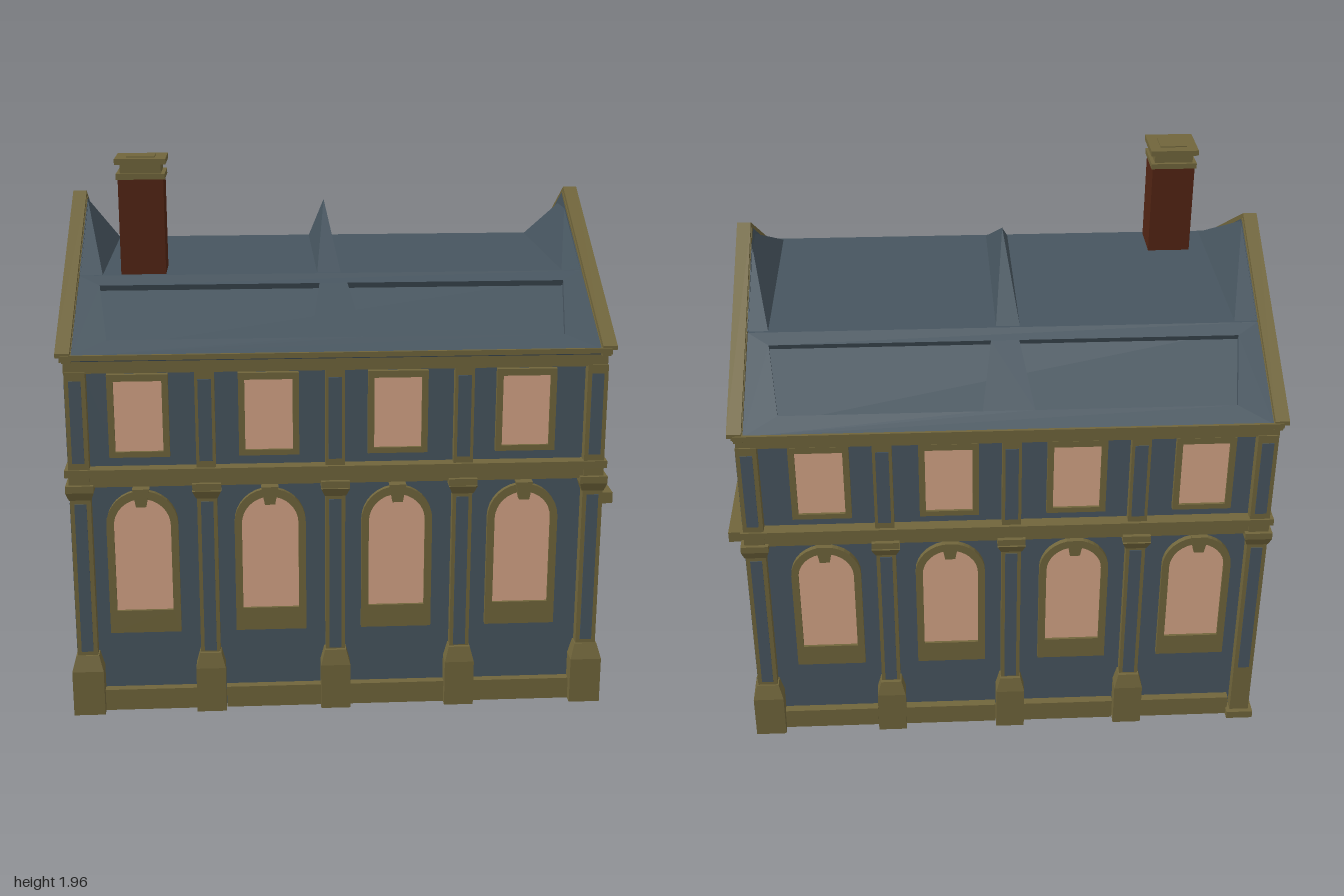
import * as THREE from 'three';

const mat = (name, color, side = THREE.FrontSide) => {
  const m = new THREE.MeshStandardMaterial({ color, side });
  m.name = name;
  return m;
};
const CX = -0.042; // middle of the building; the door canopy sticks out on one side

export function createModel() {
  const wall = mat('slate wall', 0x47555f, THREE.DoubleSide);
  const trim = mat('olive stone', 0x70653b);
  const glass = mat('lit window', 0xd6a587, THREE.DoubleSide);
  const brick = mat('brown brick', 0x522413);
  const black = mat('black door', 0x242424);
  const model = new THREE.Group();
  model.name = 'townHall';

  const add = (parent, name, geo, material) => {
    const m = new THREE.Mesh(geo, material);
    m.name = name;
    parent.add(m);
    return m;
  };
  const group = (name, parent = model) => {
    const g = new THREE.Group();
    g.name = name;
    parent.add(g);
    return g;
  };
  const box = (p, name, material, x0, x1, y0, y1, z0, z1) =>
    add(p, name, new THREE.BoxGeometry(x1 - x0, y1 - y0, z1 - z0), material)
      .position.set((x0 + x1) / 2, (y0 + y1) / 2, (z0 + z1) / 2);
  // Four-sided block whose top is scaled by k
  const taper = (p, name, material, x, z, w, d, y0, y1, k, shift = 0) => {
    const r = Math.SQRT1_2;
    const geo = new THREE.CylinderGeometry(r * k, r, y1 - y0, 4).toNonIndexed();
    geo.rotateY(Math.PI / 4).scale(w, 1, d);
    const pos = geo.attributes.position;
    for (let i = 0; i < pos.count; i++) if (pos.getY(i) > 0) pos.setX(i, pos.getX(i) + shift);
    geo.computeVertexNormals();
    add(p, name, geo, material).position.set(x, (y0 + y1) / 2, z);
  };
  const poly = (pts, C = THREE.Shape) => new C(pts.map(([x, y]) => new THREE.Vector2(x, y)));
  const rect = (x0, x1, y0, y1, C) => poly([[x0, y0], [x1, y0], [x1, y1], [x0, y1]], C);
  const arch = (x, r, y0, top, C = THREE.Shape) => {
    const s = new C();
    s.moveTo(x - r, y0);
    s.lineTo(x + r, y0);
    s.lineTo(x + r, top - r);
    s.absarc(x, top - r, r, 0, Math.PI, false);
    s.lineTo(x - r, y0);
    return s;
  };
  const plate = (p, name, material, shape, z0, z1) => {
    const geo = new THREE.ExtrudeGeometry(shape, { depth: z1 - z0, bevelEnabled: false, curveSegments: 8 });
    add(p, name, geo, material).position.z = z0;
  };

  // Window: pane set in a wall opening, with a raised frame around it
  const window_ = (p, shapeWall, makePane, frame) => {
    shapeWall.holes.push(makePane(THREE.Path));
    frame.holes.push(makePane(THREE.Path));
    plate(p, 'windowFrame', trim, frame, -0.003, 0.02);
    add(p, 'windowPane', new THREE.ShapeGeometry(makePane(THREE.Shape), 8), glass).position.z = 0.01;
  };
  const squareWindow = (p, s, u, r) =>
    window_(p, s, C => rect(u - r, u + r, 0.982, 1.236, C), rect(u - r - 0.022, u + r + 0.022, 0.962, 1.26));
  // Pilaster of the long sides: olive shaft with a slate panel on its face
  const pilaster = (p, u, y0, y1, w, panel) => {
    box(p, 'pilaster', trim, u - w / 2, u + w / 2, y0, y1, -0.02, 0.035);
    box(p, 'pilasterPanel', wall, u - w * panel, u + w * panel, y0 + 0.03, y1 - 0.03, 0.032, 0.038);
  };
  // Pilaster of the gable ends: slate shaft with olive foot and cap
  const slatePilaster = (p, u, y0, y1, foot, cap) => {
    box(p, 'pilaster', wall, u - 0.028, u + 0.028, y0, y1, -0.02, 0.035);
    for (const y of [foot, cap])
      box(p, 'pilasterBlock', trim, u - 0.036, u + 0.036, y, y + 0.03, -0.01, 0.045);
  };

  // Long sides: four bays of arched windows below and square windows above
  for (const side of [1, -1]) {
    const g = group(side > 0 ? 'frontSide' : 'backSide');
    g.position.set(CX, 0, 0.705 * side);
    if (side < 0) g.rotation.y = Math.PI;
    const s = rect(-0.902, 0.902, 0, 1.335);
    for (const i of [-1.5, -0.5, 0.5, 1.5]) {
      const u = i * 0.45 - 0.015 * side;
      squareWindow(g, s, u, 0.083);
      window_(g, s, C => arch(u, 0.1, 0.385, 0.808, C), arch(u, 0.126, 0.3, 0.838));
      plate(g, 'keystone', trim, poly([[u - 0.018, 0.785], [u + 0.018, 0.785], [u + 0.03, 0.85], [u - 0.03, 0.85]]), 0, 0.04);
      box(g, 'baseTrim', trim, i * 0.45 - 0.18, i * 0.45 + 0.18, 0, 0.08, -0.02, 0.03);
    }
    add(g, 'longWall', new THREE.ShapeGeometry(s, 8), wall);
    for (const i of [-1, 0, 1]) {
      const u = i * 0.45 - 0.01 * side;
      pilaster(g, u, 0.2, 0.83, 0.07, 0.31);
      pilaster(g, u, 0.92, 1.275, 0.068, 0.34);
      box(g, 'pedestal', trim, u - 0.053, u + 0.053, 0, 0.17, -0.03, 0.06);
      taper(g, 'pedestalTop', trim, u, 0.015, 0.106, 0.09, 0.17, 0.225, 0.72);
      taper(g, 'capital', trim, u, 0.01, 0.075, 0.07, 0.815, 0.845, 1.35);
      box(g, 'capitalBlock', trim, u - 0.05, u + 0.05, 0.845, 0.87, -0.02, 0.05);
    }
  }

  // Gable ends; the one on +x carries the door
  for (const side of [1, -1]) {
    const g = group(side > 0 ? 'doorEnd' : 'plainEnd');
    g.position.x = side > 0 ? 0.862 : -0.945;
    g.rotation.y = side * Math.PI / 2;
    const s = poly([[-0.705, 0], [0.705, 0], [0.705, 1.36], [0, 1.765], [-0.705, 1.36]]);
    for (const u of [-0.455, 0, 0.455]) squareWindow(g, s, u + 0.006 * side, 0.091);
    add(g, 'gableWall', new THREE.ShapeGeometry(s), wall);
    for (const u of [-0.255, 0.255]) {
      slatePilaster(g, u, 0.92, 1.275, 0.922, 1.24);
      slatePilaster(g, u, 1.335, 1.57, 1.337, 1.512);
    }
    // Raking cornice in two steps
    const rake = (top, t) => poly([[-0.775, 1.335 - top], [-0.775 + t, 1.335 - top], [0, 1.785 - top - t],
      [0.775 - t, 1.335 - top], [0.775, 1.335 - top], [0.775, 1.35 - top], [0, 1.787 - top], [-0.775, 1.35 - top]]);
    plate(g, 'rakingCornice', trim, rake(0, 0.045), 0.006, 0.056);
    plate(g, 'rakingCorniceStep', trim, rake(0.02, 0.062), 0.004, 0.035);
    if (side < 0) {
      box(g, 'wallStrip', trim, 0.235, 0.27, 0, 0.86, -0.02, 0.015);
      continue;
    }
    // Door with a row of small panes
    box(g, 'door', black, -0.222, 0.222, 0, 0.67, -0.005, 0.012);
    box(g, 'doorSeam', wall, -0.004, 0.004, 0, 0.67, 0.01, 0.015);
    box(g, 'doorPaneBars', wall, -0.2, 0.2, 0.358, 0.502, 0.01, 0.015);
    for (const u of [-0.152, -0.054, 0.054, 0.152])
      box(g, 'doorPane', glass, u - 0.043, u + 0.043, 0.367, 0.495, 0.012, 0.018);
    for (const m of [-1, 1]) {
      box(g, 'doorPost', trim, m * 0.255 - 0.032, m * 0.255 + 0.032, 0, 0.68, -0.02, 0.045);
      slatePilaster(g, m * 0.255, 0.7, 0.86, 0.712, 0.82);
      const a = m * 0.465;
      box(g, 'baseTrim', trim, a - 0.185, a + 0.185, 0, 0.08, -0.02, 0.03);
    }
    taper(g, 'doorHood', wall, 0, 0.012, 0.42, 0.03, 0.71, 0.84, 0.02);
    box(g, 'canopy', trim, -0.49, 0.44, 0.67, 0.712, 0, 0.138);
  }

  // Corner columns; the back left one stands on a low plate only
  for (const x of [-0.942, 0.862]) for (const z of [-0.703, 0.703]) {
    const c = group('cornerColumn');
    c.position.set(x, 0, z);
    const ox = Math.sign(x), oz = Math.sign(z);
    box(c, 'shaft', trim, -0.036, 0.036, 0, 1.275, -0.042, 0.042);
    for (const [y0, y1] of [[0.24, 0.8], [0.95, 1.245]]) {
      box(c, 'endPanel', wall, ox * 0.036 - 0.003, ox * 0.036 + 0.003, y0, y1, -0.025, 0.025);
      box(c, 'sidePanel', wall, -0.021, 0.021, y0, y1, oz * 0.042 - 0.003, oz * 0.042 + 0.003);
    }
    taper(c, 'capital', trim, 0, 0, 0.078, 0.088, 0.815, 0.845, 1.25);
    box(c, 'capitalBlock', trim, -0.049, 0.049, 0.845, 0.87, -0.055, 0.055);
    if (x < 0 && z < 0) {
      box(c, 'lowPlate', trim, -0.05, 0.05, 0, 0.03, -0.06, 0.06);
    } else {
      box(c, 'pedestal', trim, -0.056, 0.056, 0, 0.17, -0.066, 0.066);
      taper(c, 'pedestalTop', trim, 0, 0, 0.112, 0.132, 0.17, 0.225, 0.72);
    }
  }

  // Horizontal bands running around the building
  const ring = (name, y0, y1, hx, hz) => {
    const s = rect(-hx, hx, -hz, hz);
    s.holes.push(rect(-0.885, 0.885, -0.685, 0.685, THREE.Path));
    const geo = new THREE.ExtrudeGeometry(s, { depth: y1 - y0, bevelEnabled: false });
    add(model, name, geo.rotateX(-Math.PI / 2), trim).position.set(CX, y0, 0);
  };
  ring('middleBand', 0.86, 0.9, 0.938, 0.74);
  ring('middleBandLip', 0.9, 0.926, 0.95, 0.752);
  ring('upperBand', 1.27, 1.315, 0.938, 0.74);
  ring('upperBandLip', 1.315, 1.337, 0.948, 0.758);

  // Roof: sloping edges with sunken panels around a flat top
  const roof = group('roof');
  const L = Math.hypot(0.375, 0.2);
  for (const side of [1, -1]) {
    const turn = group('roofSlope', roof);
    turn.position.x = CX;
    if (side < 0) turn.rotation.y = Math.PI;
    const slope = group('slopePlane', turn);
    slope.position.set(0, 1.34, 0.775);
    slope.rotation.x = -Math.atan2(0.375, 0.2);
    const s = rect(-0.905, 0.905, 0, L);
    for (const m of [-1, 1])
      s.holes.push(poly([[m * 0.05, 0.37], [m * 0.09, 0.08], [m * 0.79, 0.08], [m * 0.83, 0.37]], THREE.Path));
    plate(slope, 'slopeFrame', wall, s, -0.025, 0);
    add(slope, 'slopePanel', new THREE.ShapeGeometry(rect(-0.905, 0.905, 0.04, L)), wall).position.z = -0.024;
    box(turn, 'eave', trim, -0.94, 0.94, 1.325, 1.343, 0.72, 0.78);
  }
  box(roof, 'flatTop', wall, -0.945, 0.862, 1.53, 1.54, -0.4, 0.4);
  // Peaks rising from the flat top: one in the middle, one against each gable
  taper(roof, 'middlePeak', wall, -0.055, 0, 0.085, 0.78, 1.54, 1.745, 0.01);
  taper(roof, 'leftPeak', wall, -0.908, 0, 0.085, 0.78, 1.54, 1.755, 0.01, -0.04);
  taper(roof, 'rightPeak', wall, 0.835, 0, 0.085, 0.78, 1.54, 1.745, 0.01, 0.04);

  // Chimney
  const ch = group('chimney');
  ch.position.set(-0.72, 0, 0.302);
  const block = (name, m, h, y0, y1) => box(ch, name, m, -h, h, y0, y1, -h, h);
  block('stack', brick, 0.08, 1.5, 1.885);
  block('collar', trim, 0.086, 1.88, 1.9);
  block('neck', trim, 0.072, 1.9, 1.935);
  block('cap', trim, 0.09, 1.933, 1.953);
  block('capTop', trim, 0.05, 1.95, 1.957);

  return model;
}
